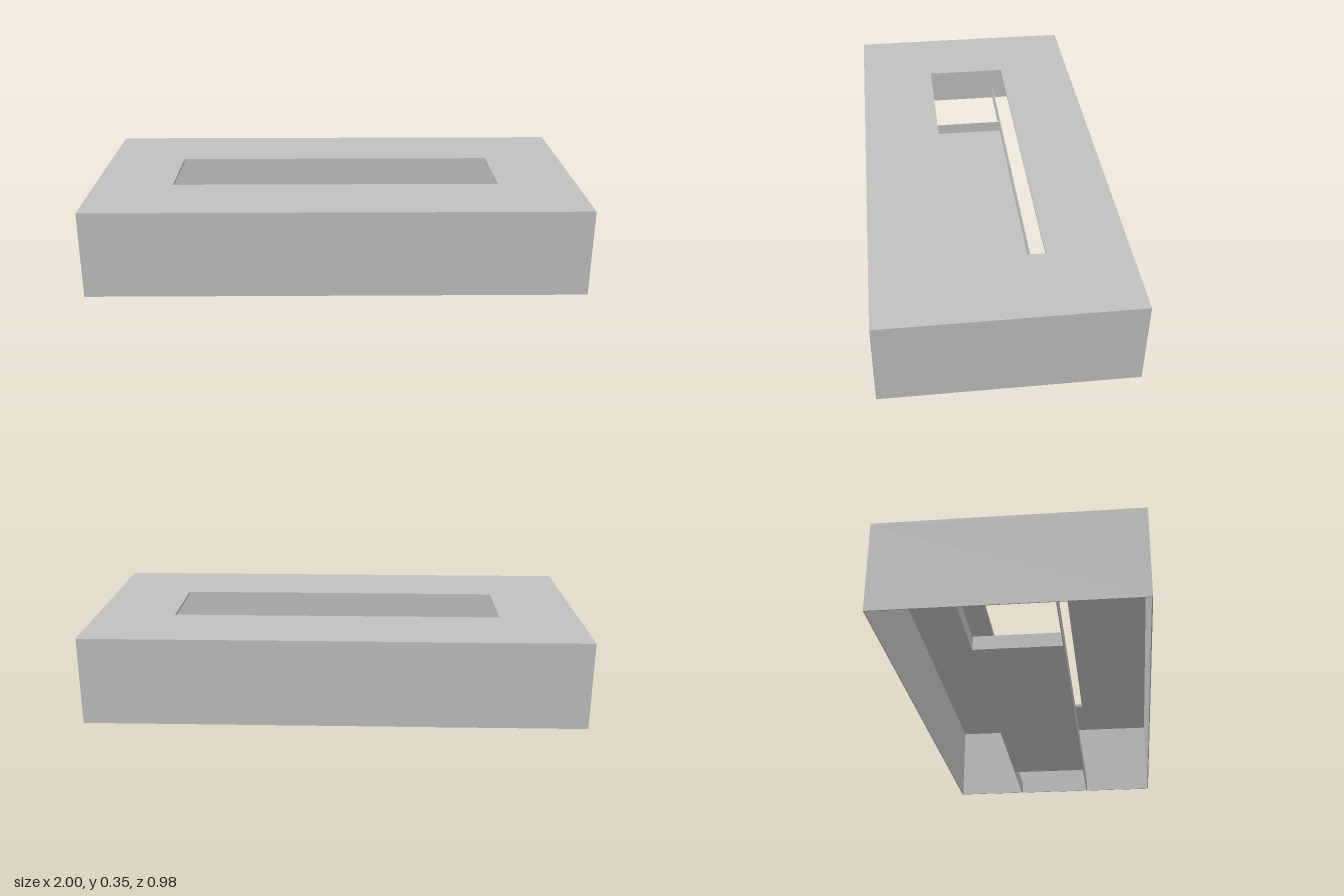
import * as THREE from 'three';

const LENGTH = 2, DEPTH = 0.98, HEIGHT = 0.355;
const SLOT_L = 1.35, SLOT_D = 0.34;
const SHEET = 0.004, TOP = 0.012, RAIL_H = 0.055;

// Flat rectangular frame with a rectangular opening, rising from y = 0
function frameGeometry(w, d, holeW, holeD, height) {
  const rect = (Kind, a, b) => new Kind([
    new THREE.Vector2(-a / 2, -b / 2), new THREE.Vector2(a / 2, -b / 2),
    new THREE.Vector2(a / 2, b / 2), new THREE.Vector2(-a / 2, b / 2),
  ]);
  const shape = rect(THREE.Shape, w, d);
  shape.holes.push(rect(THREE.Path, holeW, holeD));
  return new THREE.ExtrudeGeometry(shape, { depth: height, bevelEnabled: false }).rotateX(-Math.PI / 2);
}

export function createModel() {
  const model = new THREE.Group();
  model.name = 'slottedCover';
  const metal = new THREE.MeshStandardMaterial({ color: 0xc0c0c0 });
  metal.name = 'light grey';

  const add = (name, geometry, x, y, z) => {
    const mesh = new THREE.Mesh(geometry, metal);
    mesh.name = name;
    mesh.position.set(x, y, z);
    model.add(mesh);
  };

  // Thin outer walls, open underneath
  add('outerWalls', frameGeometry(LENGTH, DEPTH, LENGTH - 2 * SHEET, DEPTH - 2 * SHEET, HEIGHT - TOP), 0, 0, 0);

  // Top panel with the long slot
  add('topPanel', frameGeometry(LENGTH, DEPTH, SLOT_L, SLOT_D, TOP), 0, HEIGHT - TOP, 0);

  // Shallow tray below the slot
  add('trayFloor', new THREE.BoxGeometry(SLOT_L, SHEET, SLOT_D), 0, SHEET / 2, 0);
  for (const s of [-1, 1]) {
    // Tray ends
    add(s > 0 ? 'leftTrayEnd' : 'rightTrayEnd',
      new THREE.BoxGeometry(SHEET, RAIL_H - SHEET, SLOT_D - 2 * SHEET),
      s * (SLOT_L - SHEET) / 2, (RAIL_H + SHEET) / 2, 0);
    // Rails along the tray, reaching both end walls
    const rail = new THREE.BoxGeometry(LENGTH - 2 * SHEET, RAIL_H, SHEET);
    add(s > 0 ? 'frontRail' : 'backRail', rail, 0, RAIL_H / 2, s * SLOT_D / 2);
  }
  return model;
}
